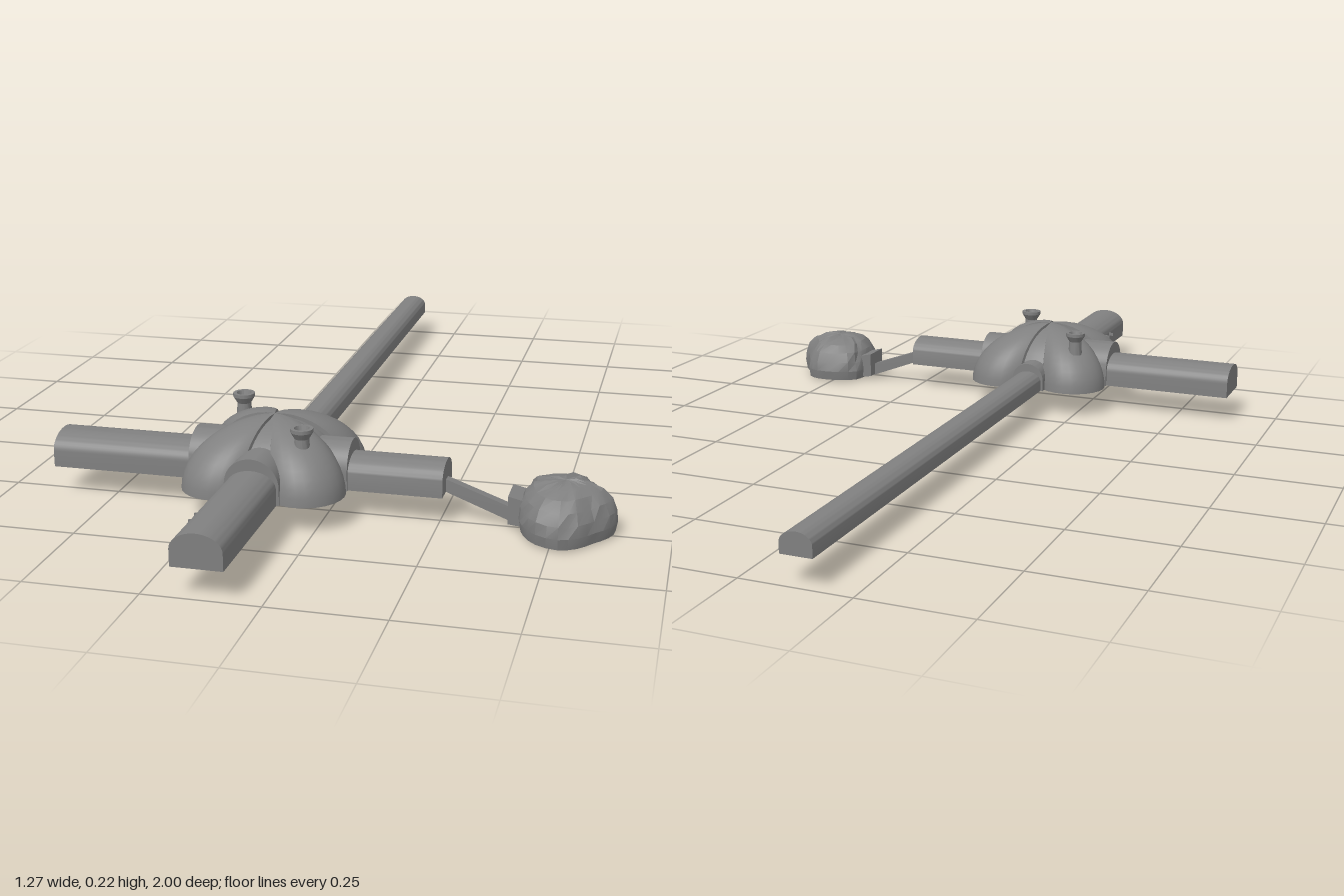
import * as THREE from 'three';
import { toCreasedNormals } from 'three/addons/utils/BufferGeometryUtils.js';

const BASE = 0.065;
const HUB = { x: -0.13, z: 0.475 };

// Skin over stacked rings (bottom to top), closed by a flat underside.
function loft(rings, crease) {
  const n = rings[0].length;
  const pos = [];
  const tri = (...points) => points.forEach((p) => pos.push(p.x, p.y, p.z));
  const centre = new THREE.Vector3();
  rings[0].forEach((p) => centre.addScaledVector(p, 1 / n));
  for (let j = 0; j < n; j++) {
    const k = (j + 1) % n;
    tri(centre, rings[0][j], rings[0][k]);
    for (let i = 0; i < rings.length - 1; i++) {
      tri(rings[i][j], rings[i + 1][j], rings[i][k]);
      if (i < rings.length - 2) tri(rings[i + 1][j], rings[i + 1][k], rings[i][k]);
    }
  }
  const geometry = new THREE.BufferGeometry();
  geometry.setAttribute('position', new THREE.Float32BufferAttribute(pos, 3));
  geometry.computeVertexNormals();
  return toCreasedNormals(geometry, crease);
}

// Vaulted bar: flat floor, short walls, arched roof, extruded along +z.
function vault(halfWidth, wall, height, length) {
  const shape = new THREE.Shape();
  shape.moveTo(-halfWidth, 0);
  shape.lineTo(halfWidth, 0);
  shape.lineTo(halfWidth, wall);
  shape.absellipse(0, wall, halfWidth, height - wall, 0, Math.PI, false);
  shape.closePath();
  const geometry = new THREE.ExtrudeGeometry(shape, { depth: length, bevelEnabled: false, curveSegments: 12 });
  return toCreasedNormals(geometry, 0.6);
}

// Four bulging diagonal lobes with recessed wedges between them.
function hubGeometry() {
  const columns = [];
  const edge = 0.576;
  for (let q = 0; q < 4; q++) {
    const mid = Math.PI / 4 + (q * Math.PI) / 2;
    for (let i = 0; i <= 12; i++) {
      const a = -edge + (i / 12) * 2 * edge;
      const r = 0.135 * Math.cos(a) + Math.sqrt(0.088 ** 2 - (0.135 * Math.sin(a)) ** 2);
      columns.push({ angle: mid + a, r, h: 0.145 });
    }
    for (let i = 0; i <= 4; i++) {
      const a = edge + 0.012 + (i / 4) * (Math.PI / 2 - 2 * edge - 0.024);
      columns.push({ angle: mid + a, r: 0.152, h: 0.138 });
    }
  }
  const rings = [];
  const steps = 12;
  for (let i = 0; i <= steps; i++) {
    const t = (i / steps) * Math.PI / 2;
    rings.push(columns.map(({ angle, r, h }) => {
      const d = i === steps ? 0 : r * Math.cos(t);
      const y = i === steps ? 0.145 : h * Math.sin(t);
      return new THREE.Vector3(d * Math.cos(angle), y, d * Math.sin(angle));
    }));
  }
  return loft(rings, 0.55);
}

// Lumpy boulder-like dome following an irregular outline.
function domeGeometry() {
  const outline = [
    [-0.09, -0.08], [-0.045, -0.108], [0.02, -0.113], [0.055, -0.095], [0.08, -0.045],
    [0.113, -0.005], [0.1, 0.04], [0.072, 0.075], [0.04, 0.113], [0, 0.13],
    [-0.05, 0.112], [-0.083, 0.07], [-0.098, 0.02], [-0.098, -0.04],
  ].map(([x, z]) => new THREE.Vector3(x, 0, z));
  const points = new THREE.CatmullRomCurve3(outline, true).getPoints(28).slice(0, 28);
  const profile = [[0, 0.96], [0.025, 1], [0.05, 0.96], [0.075, 0.86], [0.095, 0.68], [0.106, 0.45], [0.11, 0.2], [0.11, 0]];
  let seed = 7;
  const random = () => {
    seed = (seed * 16807) % 2147483647;
    return seed / 2147483647 - 0.5;
  };
  const rings = profile.map(([y, s], i) => points.map((p) => {
    const lump = i > 1 && s > 0 ? random() : 0;
    const k = s * (1 + lump * 0.06);
    return new THREE.Vector3(p.x * k, y + lump * 0.006, p.z * k);
  }));
  return loft(rings, 0.35);
}

export function createModel() {
  const model = new THREE.Group();
  model.name = 'domedStation';
  const grey = new THREE.MeshStandardMaterial({ color: 0x808080 });
  grey.name = 'grey';
  const add = (name, geometry, x, y, z, parent = model) => {
    const mesh = new THREE.Mesh(geometry, grey);
    mesh.name = name;
    mesh.position.set(x, y, z);
    parent.add(mesh);
    return mesh;
  };

  add('hubDome', hubGeometry(), HUB.x, BASE, HUB.z);

  // Vaulted corridors leaving the hub, each with an arched collar.
  const arms = [
    { name: 'front', turn: 0, half: 0.055, height: 0.074, reach: 0.525, collar: 0.1 },
    { name: 'left', turn: Math.PI / 2, half: 0.055, height: 0.07, reach: 0.39, collar: 0.1 },
    { name: 'back', turn: Math.PI, half: 0.036, height: 0.05, reach: 1.475, collar: 0.07 },
    { name: 'right', turn: -Math.PI / 2, half: 0.062, height: 0.075, reach: 0.505, collar: 0.105 },
  ];
  for (const { name, turn, half, height, reach, collar } of arms) {
    const arm = new THREE.Group();
    arm.name = name + 'Arm';
    arm.position.set(HUB.x, BASE, HUB.z + (Math.abs(turn) === Math.PI / 2 ? 0.004 : 0));
    arm.rotation.y = turn;
    model.add(arm);
    add(name + 'Corridor', vault(half, height * 0.5, height, reach - 0.05), 0, 0, 0.05, arm);
    add(name + 'Collar', vault(half + 0.006, collar * 0.4, collar, 0.1), 0, 0, 0.08, arm);
  }

  // Small marker fins on the side of the front corridor.
  for (const z of [0.82, 0.855]) {
    add('corridorFin', new THREE.BoxGeometry(0.014, 0.008, 0.004), -0.19, 0.1, z);
  }

  // Flared vents on two opposite lobes.
  for (const [x, z] of [[-0.238, 0.363], [-0.04, 0.573]]) {
    const profile = [[0, 0], [0.018, 0], [0.016, 0.035], [0.025, 0.05], [0.025, 0.058], [0.017, 0.058], [0.014, 0.046], [0, 0.046]];
    const vent = new THREE.LatheGeometry(profile.map(([r, y]) => new THREE.Vector2(r, y)), 20);
    add('vent', toCreasedNormals(vent, 0.5), x, 0.157, z);
  }

  // Sloping passage down to the small dome.
  const ramp = new THREE.Shape();
  [[0.25, 0.068], [0.42, 0.002], [0.44, 0], [0.44, 0.03], [0.42, 0.035], [0.25, 0.097]]
    .forEach(([x, y], i) => (i ? ramp.lineTo(x, y) : ramp.moveTo(x, y)));
  add('ramp', new THREE.ExtrudeGeometry(ramp, { depth: 0.022, bevelEnabled: false }), 0, 0, 0.469);

  // Tapered doorway and the small dome itself.
  const door = new THREE.Shape();
  [[0.4, 0.012], [0.47, 0.005], [0.47, 0.06], [0.4, 0.076]]
    .forEach(([x, y], i) => (i ? door.lineTo(x, y) : door.moveTo(x, y)));
  add('doorway', new THREE.ExtrudeGeometry(door, { depth: 0.076, bevelEnabled: false }), 0, 0, 0.441);
  add('smallDome', domeGeometry(), 0.52, 0.005, 0.49);

  return model;
}
